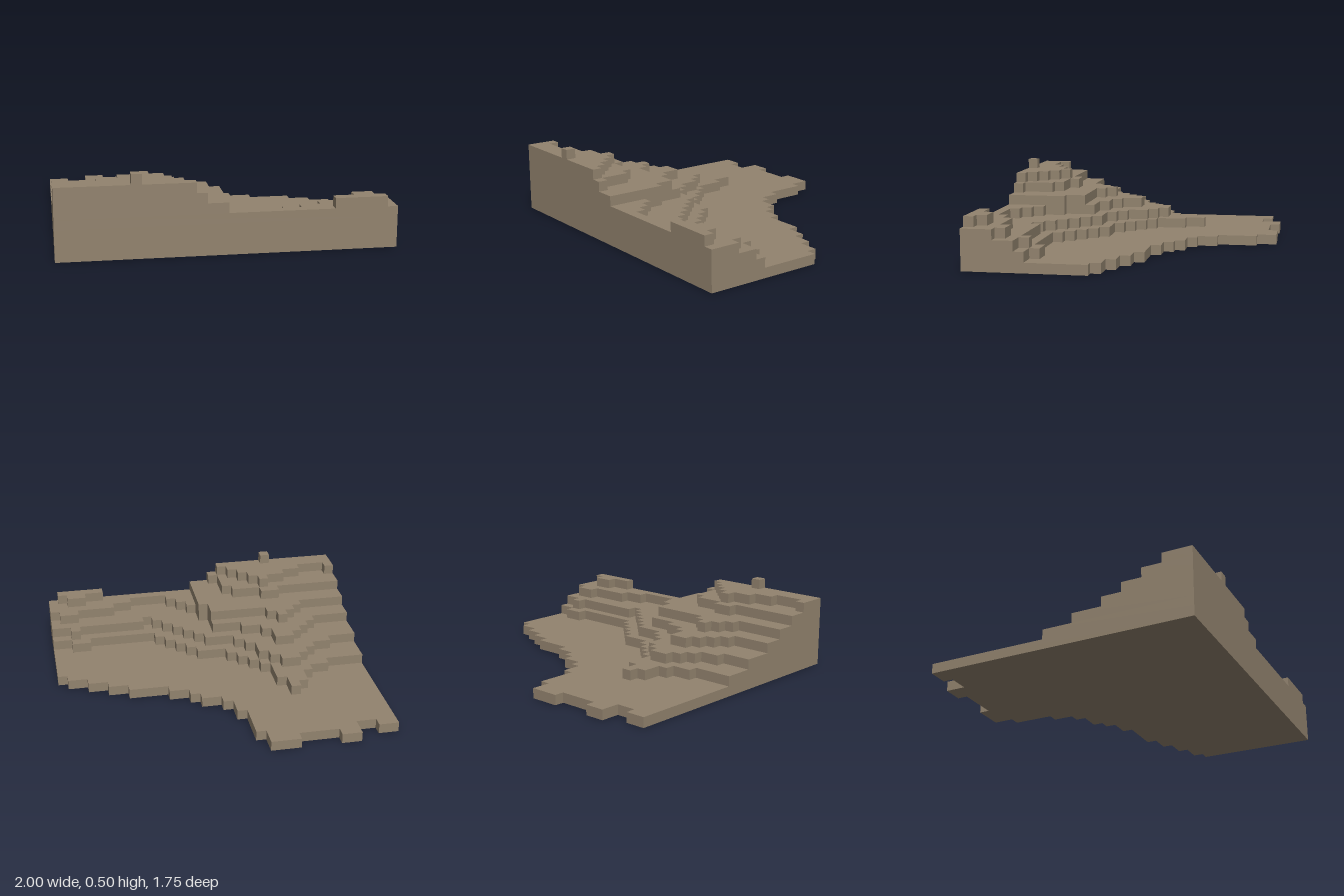
import * as THREE from 'three';

const STEP = 1 / 16; // size of one grid cell
const COLS = 32;
const FRONT = 28;    // grid row of the straight front edge

// Back edge of each terrace as a few [column, row] bends, lowest terrace first.
const TERRACES = [
  { name: 'groundSlab', bends: [[1, 1], [2.5, 2.4], [4.5, -0.4], [6, 1], [9, 1], [10, 0], [12, 0],
    [13, 2], [14, 6], [15, 8], [18, 10], [22, 12], [24, 12], [31, 16]] },
  { name: 'lowestTerrace', bends: [[3, 13.3], [6, 10.8], [8, 7.8], [10, 12.6], [14, 17], [16, 17],
    [21, 22], [27, 22], [28.5, 20.7], [30, 22]] },
  { name: 'lowerTerrace', bends: [[2, 15.6], [4, 14.8], [7.5, 11.5], [13, 18], [15, 18], [21, 24],
    [22, 23], [28, 23], [29, 22], [30, 23]] },
  { name: 'middleTerrace', bends: [[3, 19], [7.5, 14.6], [9, 17.1], [14, 19.45], [16, 24], [19, 27],
    [22, 27], [25, 25], [28, 25], [29.5, 23.7], [31, 25]] },
  { name: 'upperTerrace', bends: [[4, 21], [7, 18], [9, 20], [14, 20], [15, 22], [16, 28],
    [25, 28], [28.5, 25.5], [31, 28]] },
  { name: 'highTerrace', bends: [[6, 23], [7.5, 21.7], [9, 23], [11, 23], [12, 24], [13, 27], [14, 28]] },
  { name: 'topTerrace', bends: [[0, 25], [1, 26], [3, 26], [8, 23], [13, 28]] },
];

// Row of the back edge at a column: straight between bends, snapped to the grid
function edgeRow(bends, col) {
  const next = bends.findIndex(([c]) => c >= col);
  if (next === -1) return Math.round(bends[bends.length - 1][1]);
  if (next === 0) return Math.round(bends[0][1]);
  const [c0, r0] = bends[next - 1];
  const [c1, r1] = bends[next];
  return Math.round(r0 + ((r1 - r0) * (col - c0)) / (c1 - c0));
}

// Stepped outlines of a terrace, one for each stretch that lies behind the front edge
function outlines(bends) {
  const corner = (col, row) => new THREE.Vector2((col - COLS / 2) * STEP, (FRONT / 2 - row) * STEP);
  const shapes = [];
  let points = [];
  let previous = FRONT;
  for (let col = 0; col <= COLS; col++) {
    const row = col < COLS ? edgeRow(bends, col) : FRONT;
    if (row === previous) continue;
    points.push(corner(col, previous), corner(col, row));
    if (row === FRONT) {
      shapes.push(new THREE.Shape(points));
      points = [];
    }
    previous = row;
  }
  return shapes;
}

export function createModel() {
  const model = new THREE.Group();
  model.name = 'terracedHillside';
  const earth = new THREE.MeshStandardMaterial({ color: 0x92836e });
  earth.name = 'earth brown';

  // Terraces stacked one step high each
  TERRACES.forEach(({ name, bends }, level) => {
    const geometry = new THREE.ExtrudeGeometry(outlines(bends), { depth: STEP, bevelEnabled: false });
    geometry.rotateX(-Math.PI / 2);
    const terrace = new THREE.Mesh(geometry, earth);
    terrace.name = name;
    terrace.position.y = level * STEP;
    model.add(terrace);
  });

  // Single block on the summit, at the front edge
  const summit = new THREE.Mesh(new THREE.BoxGeometry(STEP, STEP, STEP), earth);
  summit.name = 'summitBlock';
  summit.position.set(-8.5 * STEP, 7.5 * STEP, 13.5 * STEP);
  model.add(summit);
  return model;
}
